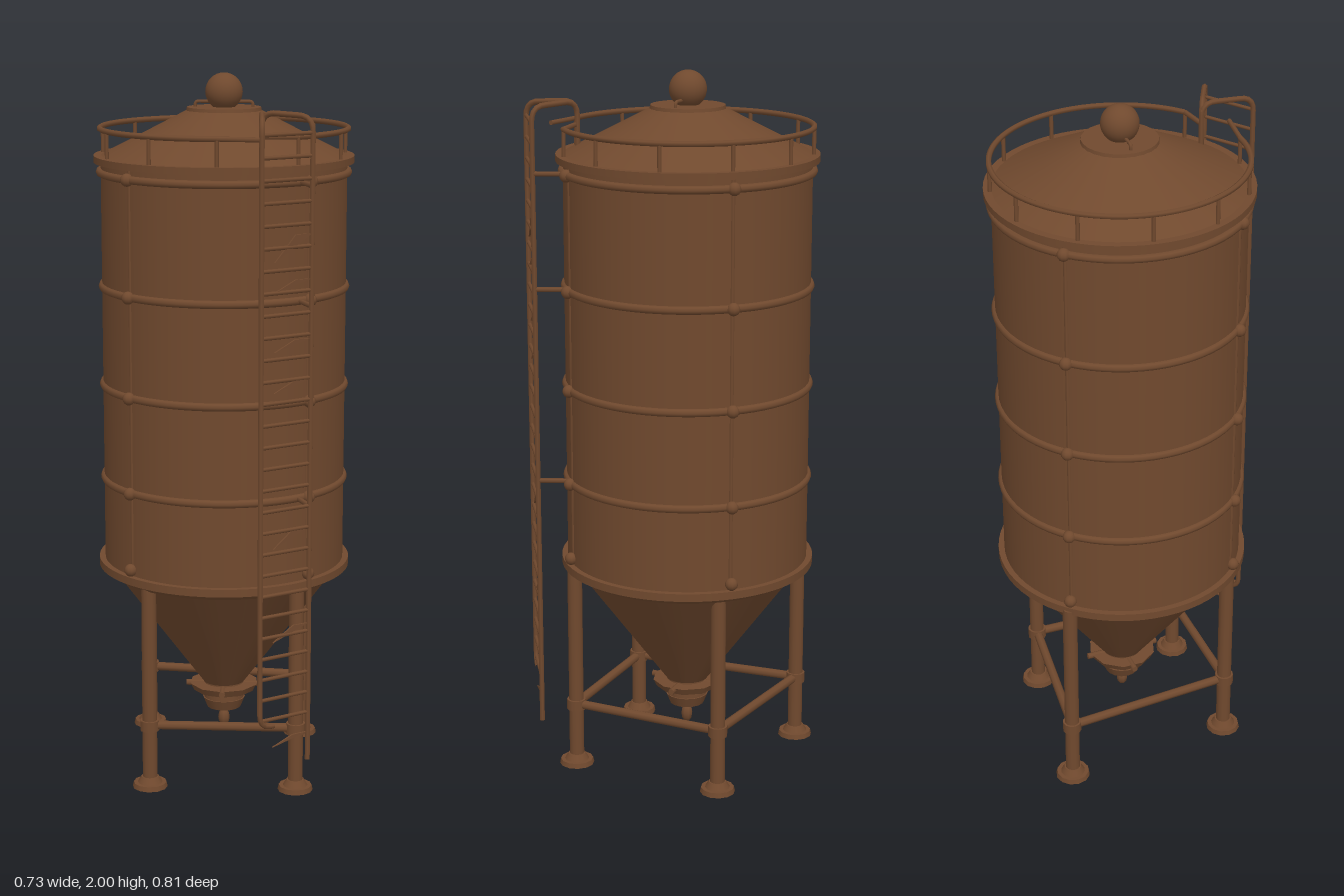
import * as THREE from 'three';

const rust = new THREE.MeshStandardMaterial({ color: 0x70492e });
rust.name = 'rust brown';
const CZ = -0.043; // depth of the tank axis
const v = (x, y, z) => new THREE.Vector3(x, y, z);

export function createModel() {
  const model = new THREE.Group();
  model.name = 'storageSilo';

  const add = (name, geo, parent, x = 0, y = 0, z = 0) => {
    const mesh = new THREE.Mesh(geo, rust);
    mesh.name = name;
    mesh.position.set(x, y, z);
    parent.add(mesh);
    return mesh;
  };
  const group = (name, z = 0) => {
    const g = new THREE.Group();
    g.name = name;
    g.position.z = z;
    model.add(g);
    return g;
  };
  // straight round bar between two points
  const bar = (name, a, b, r, parent, sides = 8) => {
    const mesh = add(name, new THREE.CylinderGeometry(r, r, a.distanceTo(b), sides), parent);
    mesh.position.copy(a).lerp(b, 0.5);
    mesh.quaternion.setFromUnitVectors(v(0, 1, 0), b.clone().sub(a).normalize());
    return mesh;
  };
  // pipe with rounded corners through the given points
  const pipe = (name, pts, r, parent, round = 0.04) => {
    const path = new THREE.CurvePath();
    let last = pts[0];
    for (let i = 1; i < pts.length - 1; i++) {
      const p = pts[i];
      const a = p.clone().add(pts[i - 1].clone().sub(p).setLength(round));
      const b = p.clone().add(pts[i + 1].clone().sub(p).setLength(round));
      path.add(new THREE.LineCurve3(last, a));
      path.add(new THREE.QuadraticBezierCurve3(a, p, b));
      last = b;
    }
    path.add(new THREE.LineCurve3(last, pts[pts.length - 1]));
    return add(name, new THREE.TubeGeometry(path, 140, r, 6), parent);
  };
  const hoop = (name, radius, tube, y, parent) => {
    const m = add(name, new THREE.TorusGeometry(radius, tube, 8, 64), parent, 0, y, 0);
    m.rotation.x = Math.PI / 2;
    return m;
  };
  const frustum = (name, rTop, rBot, y0, y1, parent, sides = 64) =>
    add(name, new THREE.CylinderGeometry(rTop, rBot, y1 - y0, sides), parent, 0, (y0 + y1) / 2, 0);

  // tank wall, rims and bands
  const tank = group('tank', CZ);
  frustum('tankWall', 0.343, 0.343, 0.6, 1.77, tank);
  frustum('lowerRim', 0.36, 0.36, 0.6, 0.622, tank);
  frustum('lowerLip', 0.352, 0.335, 0.585, 0.6, tank);
  frustum('upperRim', 0.363, 0.363, 1.757, 1.776, tank);
  hoop('upperBand', 0.346, 0.011, 1.73, tank);
  for (const y of [0.86, 1.13, 1.41]) hoop('band', 0.341, 0.012, y, tank);

  // vertical seams with knuckles where they cross the bands
  for (let i = 0; i < 4; i++) {
    const a = Math.PI / 4 + i * Math.PI / 2;
    const x = Math.cos(a), z = Math.sin(a);
    bar('seam', v(x * 0.341, 0.6, z * 0.341), v(x * 0.341, 1.76, z * 0.341), 0.006, tank, 6);
    for (const y of [0.64, 0.86, 1.13, 1.41, 1.73])
      add('bandKnuckle', new THREE.SphereGeometry(0.018, 10, 8), tank, x * 0.35, y, z * 0.35);
  }

  // roof with hatch and ball cap
  const roof = group('roof', CZ);
  frustum('roofLower', 0.21, 0.345, 1.774, 1.843, roof);
  frustum('roofUpper', 0.1, 0.21, 1.843, 1.9, roof);
  frustum('hatchPlate', 0.103, 0.105, 1.897, 1.907, roof, 24);
  frustum('capNeck', 0.025, 0.032, 1.9, 1.925, roof, 16);
  add('capBall', new THREE.SphereGeometry(0.052, 24, 16), roof, 0, 1.949, 0);
  pipe('hatchHandle', [v(-0.08, 1.9, 0), v(-0.08, 1.922, 0), v(0.08, 1.922, 0), v(0.08, 1.9, 0)], 0.005, roof, 0.01);

  // guard rail, open at the ladder
  const guard = group('guardRail', CZ);
  const at = (deg, y, r = 0.345) => {
    const a = deg * Math.PI / 180;
    return v(Math.cos(a) * r, y, Math.sin(a) * r);
  };
  const railPts = [];
  for (let d = 90; d <= 412; d += 7) railPts.push(at(d, 1.85));
  add('topRail', new THREE.TubeGeometry(new THREE.CatmullRomCurve3(railPts), 120, 0.008, 6), guard);
  for (let i = 0; i <= 10; i++) bar('railPost', at(90 + i * 32.2, 1.765), at(90 + i * 32.2, 1.85), 0.006, guard, 6);
  bar('railEnd', v(0, 1.85, 0.345), v(0.115, 1.85, 0.362), 0.007, guard, 6);
  bar('railEnd', at(412, 1.85), v(0.115, 1.85, 0.285), 0.007, guard, 6);

  // discharge hopper and outlet
  const hopper = group('hopper', CZ);
  frustum('hopperCone', 0.322, 0.06, 0.235, 0.59, hopper, 48);
  frustum('hopperNeck', 0.058, 0.058, 0.18, 0.24, hopper, 20);
  frustum('outletFlange', 0.1, 0.09, 0.21, 0.23, hopper, 10);
  frustum('outletCollar', 0.062, 0.05, 0.155, 0.185, hopper, 16);
  bar('outletBolt', v(-0.11, 0.224, 0), v(0.11, 0.224, 0), 0.009, hopper);
  bar('outletBolt', v(0, 0.224, -0.11), v(0, 0.224, 0.11), 0.009, hopper);
  frustum('spoutStem', 0.008, 0.008, 0.13, 0.16, hopper, 8);
  const tip = add('spoutTip', new THREE.SphereGeometry(0.017, 8, 6), hopper, 0, 0.118, 0);
  tip.scale.y = 1.6;

  // legs, feet and cross bars
  const frame = group('supportFrame');
  const legs = [[-0.197, 0.21], [0.217, 0.21], [0.22, -0.24], [-0.24, -0.29]];
  legs.forEach(([x, z], i) => {
    const [nx, nz] = legs[(i + 1) % 4];
    bar('leg', v(x, 0.01, z), v(x, 0.61, z), 0.021, frame, 12);
    add('footPlate', new THREE.CylinderGeometry(0.047, 0.05, 0.014, 12), frame, x, 0.007, z);
    add('footCollar', new THREE.CylinderGeometry(0.025, 0.036, 0.018, 12), frame, x, 0.022, z);
    add('braceCollar', new THREE.CylinderGeometry(0.027, 0.027, 0.03, 12), frame, x, 0.185, z);
    bar('crossBar', v(x, 0.185, z), v(nx, 0.185, nz), 0.013, frame);
  });

  // ladder: two stiles hooked over onto the roof
  const ladder = group('ladder');
  const L = [0.122, 0.393], R = [0.252, 0.304], H = [0.115, 0.237];
  pipe('leftStile', [v(0.16, 0.25, 0.367), v(L[0], 0.25, L[1]), v(L[0], 1.905, L[1]),
    v(H[0], 1.915, H[1]), v(H[0], 1.79, H[1])], 0.008, ladder);
  pipe('rightStile', [v(R[0], 0.13, R[1]), v(R[0], 1.91, R[1]),
    v(H[0], 1.915, H[1]), v(H[0], 1.79, H[1])], 0.008, ladder);
  for (let i = 0; i < 28; i++) {
    const y = 0.27 + i * 0.0592;
    bar('rung', v(L[0], y, L[1]), v(R[0], y, R[1]), 0.0055, ladder, 6);
  }

  // thin bent scraps on the damaged rungs
  for (const [y, h] of [[0.2, 0.025], [0.51, 0.04], [0.78, 0.05], [1.2, 0.03], [1.31, 0.03], [1.47, 0.03], [1.57, 0.07]]) {
    const s = new THREE.Shape([new THREE.Vector2(-0.055, -h / 2), new THREE.Vector2(0.06, h / 2), new THREE.Vector2(0.01, h / 2)]);
    const m = add('bentRung', new THREE.ExtrudeGeometry(s, { depth: 0.005, bevelEnabled: false }), ladder, 0.2, y, 0.337);
    m.rotation.y = 0.6;
  }

  // struts tying the ladder to the wall
  for (const y of [0.86, 1.41, 1.73]) bar('ladderStrut', v(R[0], y, R[1]), v(0.215, y, 0.215), 0.007, ladder, 6);
  return model;
}
